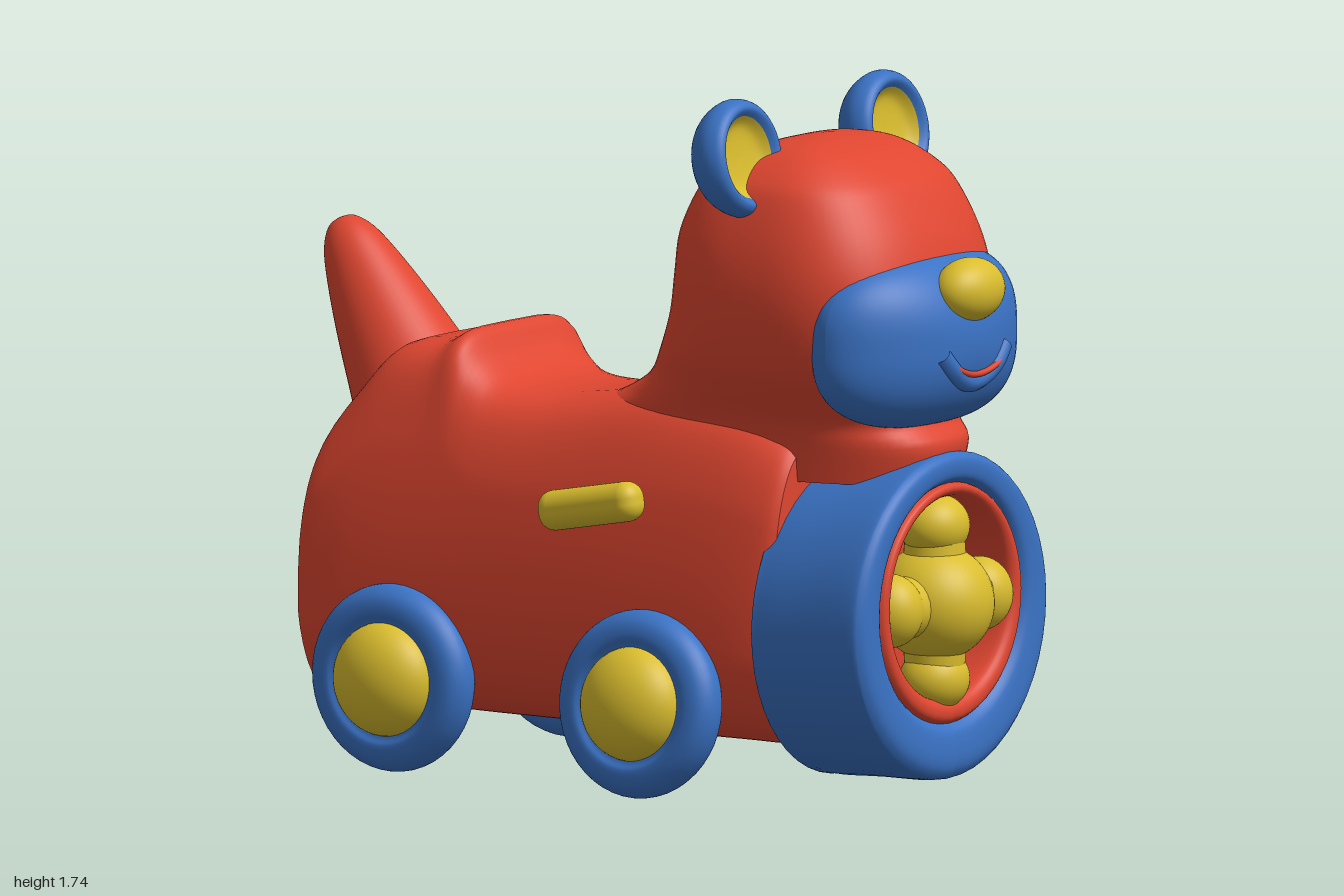
import * as THREE from 'three';
import { RoundedBoxGeometry } from 'three/addons/geometries/RoundedBoxGeometry.js';

const mat = (name, color) => Object.assign(new THREE.MeshStandardMaterial({ color }), { name });

// Catmull-Rom resampling of rows of numbers
function smoothRows(rows, steps) {
  const out = [];
  for (let i = 0; i < rows.length - 1; i++) {
    const p0 = rows[Math.max(i - 1, 0)], p1 = rows[i], p2 = rows[i + 1], p3 = rows[Math.min(i + 2, rows.length - 1)];
    for (let s = 0; s < steps; s++) {
      const t = s / steps;
      out.push(p1.map((b, k) => {
        const m1 = (p2[k] - p0[k]) / 2, m2 = (p3[k] - b) / 2, d = p2[k] - b;
        return b + m1 * t + (3 * d - 2 * m1 - m2) * t * t + (m1 + m2 - 2 * d) * t * t * t;
      }));
    }
  }
  out.push(rows[rows.length - 1]);
  return out;
}

// Unit superellipse ring
function superRing(n, count = 64) {
  const f = (v) => Math.sign(v) * Math.abs(v) ** (2 / n);
  return Array.from({ length: count }, (_, i) => {
    const a = (i / count) * Math.PI * 2;
    return [f(Math.cos(a)), f(Math.sin(a))];
  });
}

// Skin over closed rings, with separate flat caps
function loft(rings) {
  const pos = [], index = [], n = rings[0].length;
  rings.forEach((r) => r.forEach((p) => pos.push(...p)));
  for (let j = 0; j < rings.length - 1; j++) {
    for (let i = 0; i < n; i++) {
      const a = j * n + i, b = j * n + ((i + 1) % n);
      index.push(a, b, b + n, a, b + n, a + n);
    }
  }
  [rings[0], rings[rings.length - 1]].forEach((ring, end) => {
    const start = pos.length / 3;
    const c = [0, 1, 2].map((k) => ring.reduce((s, p) => s + p[k], 0) / n);
    ring.forEach((p) => pos.push(...p));
    pos.push(...c);
    for (let i = 0; i < n; i++) {
      const a = start + i, b = start + ((i + 1) % n);
      index.push(...(end ? [a, b, start + n] : [b, a, start + n]));
    }
  });
  const g = new THREE.BufferGeometry();
  g.setAttribute('position', new THREE.Float32BufferAttribute(pos, 3));
  g.setIndex(index);
  g.computeVertexNormals();
  return g;
}

const lathe = (pts, steps = 4) =>
  new THREE.LatheGeometry(smoothRows(pts, steps).map(([r, y]) => new THREE.Vector2(Math.max(r, 0), y)), 48);

export function createModel() {
  const red = mat('red', 0xdf4630), blue = mat('blue', 0x3a72c4), yellow = mat('yellow', 0xdabd2e);
  const model = new THREE.Group();
  const add = (name, geo, material, x = 0, y = 0, z = 0, parent = model) => {
    const m = new THREE.Mesh(geo, material);
    m.name = name;
    m.position.set(x, y, z);
    parent.add(m);
    return m;
  };
  const ball = (name, material, p, s, parent = model) => {
    const m = add(name, new THREE.SphereGeometry(1, 40, 28), material, ...p, parent);
    m.scale.set(...s);
    return m;
  };

  // Body: sections along z as [z, bottom, top, half width]
  const bodyRows = [
    [-0.885, 0.33, 0.38, 0.29], [-0.875, 0.31, 0.5, 0.32], [-0.85, 0.17, 0.72, 0.345], [-0.82, 0.145, 0.84, 0.36],
    [-0.74, 0.14, 0.95, 0.368], [-0.65, 0.14, 1.04, 0.37], [-0.52, 0.14, 1.06, 0.37], [-0.45, 0.14, 1.09, 0.37],
    [-0.4, 0.14, 1.02, 0.37], [-0.33, 0.14, 0.965, 0.37], [-0.2, 0.14, 0.95, 0.37], [-0.05, 0.14, 0.965, 0.37],
    [0.15, 0.135, 0.99, 0.37], [0.4, 0.135, 0.97, 0.365], [0.53, 0.135, 0.93, 0.35], [0.57, 0.15, 0.9, 0.33],
  ];
  const bodyRing = superRing(5);
  add('body', loft(smoothRows(bodyRows, 4).map(([z, lo, hi, w]) => bodyRing.map(([u, v]) => {
    const y = (lo + hi) / 2 + (v * (hi - lo)) / 2;
    const taper = 1 - 0.2 * THREE.MathUtils.smoothstep(y, 0.55, 1.02) - 0.1 * (1 - THREE.MathUtils.smoothstep(y, 0.1, 0.4));
    return [u * w * taper, y, z];
  }))), red);

  // Head and neck: rings going up as [y, back z, front z, half width]
  const headRows = [
    [0.8, -0.1, 0.84, 0.24], [0.89, -0.14, 0.865, 0.25], [0.94, -0.12, 0.83, 0.265], [0.98, -0.03, 0.83, 0.285],
    [1.03, 0.055, 0.85, 0.315], [1.1, 0.105, 0.86, 0.35], [1.2, 0.147, 0.865, 0.37], [1.3, 0.163, 0.86, 0.372],
    [1.4, 0.175, 0.83, 0.357], [1.5, 0.22, 0.775, 0.325], [1.55, 0.265, 0.73, 0.292], [1.6, 0.345, 0.655, 0.225],
    [1.625, 0.42, 0.58, 0.15], [1.636, 0.49, 0.51, 0.02],
  ];
  const headRing = superRing(2.7);
  add('head', loft(smoothRows(headRows, 4).map(([y, b, f, w]) =>
    headRing.map(([u, v]) => [u * w, y, (b + f) / 2 - (v * (f - b)) / 2]))), red);

  // Muzzle: squarish ellipsoid wrapped round the face
  const A = 0.36, B = 0.217, C = 0.17, N = 2.8, MY = 1.152, MZ = 0.79, bend = 0.35;
  const muzzleZ = (x, y) => {
    const t = (Math.abs(x / A) ** N + Math.abs((y - MY) / B) ** N) ** (1 / N);
    return MZ + C * Math.sqrt(Math.max(0, 1 - t * t)) - bend * x * x;
  };
  const muzzle = new THREE.SphereGeometry(1, 64, 48), mp = muzzle.attributes.position;
  for (let i = 0; i < mp.count; i++) {
    const x = mp.getX(i), y = mp.getY(i);
    const k = Math.hypot(x, y) / ((Math.abs(x) ** N + Math.abs(y) ** N) ** (1 / N) || 1);
    const px = x * k * A;
    mp.setXYZ(i, px, MY + y * k * B, MZ + mp.getZ(i) * C - bend * px * px);
  }
  muzzle.computeVertexNormals();
  add('muzzle', muzzle, blue);
  ball('nose', yellow, [0, 1.28, 0.925], [0.11, 0.08, 0.075]);

  // Smile with a full lower lip
  const arc = (half, y0, rise, dz, r) => new THREE.TubeGeometry(new THREE.CatmullRomCurve3(
    Array.from({ length: 9 }, (_, i) => {
      const u = i / 4 - 1, x = u * half, y = y0 + rise * u * u;
      return new THREE.Vector3(x, y, muzzleZ(x, y) + dz);
    })), 32, r, 10);
  add('lowerLip', arc(0.13, 1.052, 0.08, -0.012, 0.026), blue);
  add('mouth', arc(0.1, 1.073, 0.028, 0.004, 0.008), red);

  // Ears: blue cup with a yellow dish
  for (const s of [-1, 1]) {
    const ear = new THREE.Group();
    ear.name = s > 0 ? 'leftEar' : 'rightEar';
    ear.position.set(s * 0.312, 1.6, 0.435);
    ear.rotation.set(Math.PI / 2 - 0.18, 0, 0);
    ear.scale.set(0.97, 1, 1.02);
    add('earShell', lathe([[0, -0.08], [0.065, -0.074], [0.115, -0.045], [0.143, 0.005], [0.138, 0.045], [0.118, 0.06], [0.1, 0.045]]), blue, 0, 0, 0, ear);
    add('earInner', lathe([[0.101, 0.046], [0.08, 0.026], [0.05, 0.018], [0, 0.015]]), yellow, 0, 0, 0, ear);
    model.add(ear);
  }

  // Tail
  const tail = add('tail', lathe([[0.17, -0.06], [0.168, 0.06], [0.15, 0.16], [0.125, 0.28], [0.095, 0.4], [0.068, 0.48], [0.035, 0.525], [0, 0.535]]), red, 0, 0.84, -0.705);
  tail.rotation.x = -0.53;

  // Front drum: rim and recess, sheared so the hole sits high
  const drumPart = (name, pts, material, steps) => {
    const g = lathe(pts, steps).rotateX(Math.PI / 2), p = g.attributes.position;
    for (let i = 0; i < p.count; i++) {
      const r = Math.hypot(p.getX(i), p.getY(i));
      p.setY(i, p.getY(i) + 0.46 + (p.getZ(i) - 0.8) * 0.1 + (0.405 - r) * 0.28);
    }
    g.computeVertexNormals();
    add(name, g, material);
  };
  drumPart('drumRim', [[0.2, 0.545], [0.37, 0.545], [0.39, 0.56], [0.398, 0.7], [0.407, 0.84], [0.398, 0.872], [0.37, 0.885], [0.32, 0.88], [0.298, 0.86]], blue, 4);
  drumPart('drumRecess', [[0.302, 0.855], [0.29, 0.875], [0.268, 0.875], [0.252, 0.85], [0.248, 0.77], [0.245, 0.735], [0.22, 0.725], [0, 0.725]], red, 4);

  // Four-armed knob in the drum
  const knob = new THREE.Group();
  knob.name = 'drumKnob';
  knob.position.set(0, 0.495, 0.82);
  ball('knobCentre', yellow, [0, 0, 0], [0.145, 0.145, 0.15], knob);
  for (let i = 0; i < 4; i++) {
    const arm = new THREE.Group();
    arm.name = 'knobArm';
    arm.rotation.z = (i * Math.PI) / 2;
    add('armBar', new THREE.CylinderGeometry(0.07, 0.085, 0.2, 24), yellow, 0, 0.12, 0, arm);
    ball('armTip', yellow, [0, 0.19, 0], [0.092, 0.08, 0.085], arm);
    knob.add(arm);
  }
  model.add(knob);

  // Wheels with domed hubs, front pair cambered
  const tyre = [[0, -0.06], [0.15, -0.06], [0.205, -0.05], [0.23, -0.015], [0.23, 0.02], [0.205, 0.05], [0.165, 0.058], [0.13, 0.045], [0, 0.045]];
  for (const s of [-1, 1]) {
    for (const [name, z, x, camber] of [['frontWheel', 0.212, 0.392, 0.1], ['rearWheel', -0.55, 0.37, 0]]) {
      const wheel = new THREE.Group();
      wheel.name = name;
      wheel.position.set(s * x, 0.237, z);
      wheel.rotation.z = -s * (Math.PI / 2 - camber);
      add('tyre', lathe(tyre), blue, 0, 0, 0, wheel);
      ball('hub', yellow, [0, 0.035, 0], [0.142, 0.1, 0.142], wheel);
      model.add(wheel);
    }
    // Side foot pegs
    const peg = add('footPeg', new RoundedBoxGeometry(0.09, 0.1, 0.3, 5, 0.042), yellow, s * 0.382, 0.715, 0.055);
    peg.rotation.x = -0.18;
  }
  return model;
}
